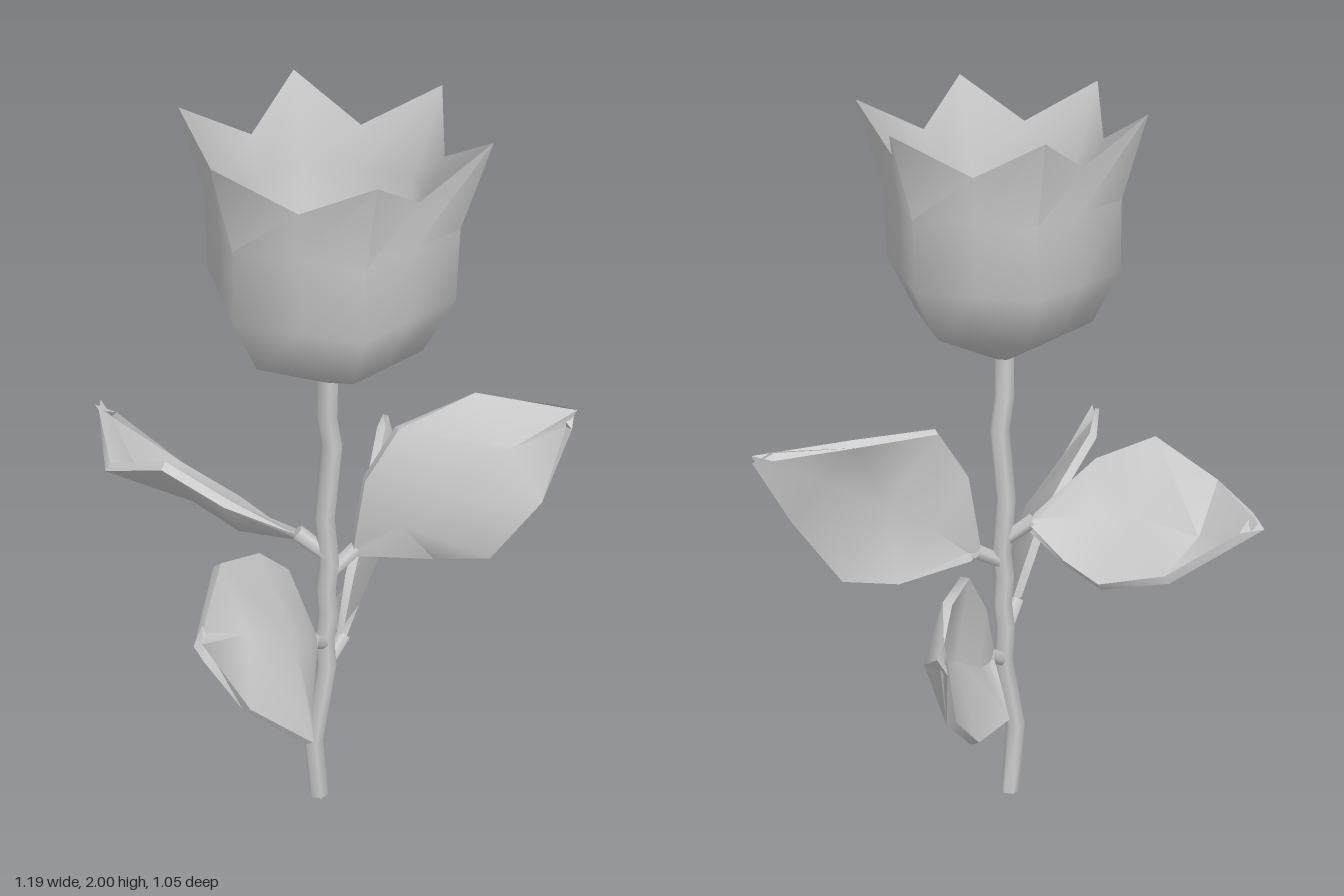
import * as THREE from 'three';
import { toCreasedNormals } from 'three/addons/utils/BufferGeometryUtils.js';

const V = (x, y, z) => new THREE.Vector3(x, y, z);
const STEM_Z = 0.18;

// Skin a list of equal-length rings (counter-clockwise about the path) and cap both ends.
function loft(name, rings, crease) {
  const n = rings[0].length, index = [];
  const last = (rings.length - 1) * n;
  for (let i = 0; i < rings.length - 1; i++) {
    for (let j = 0; j < n; j++) {
      const a = i * n + j, b = i * n + (j + 1) % n;
      index.push(a, b, b + n, a, b + n, a + n);
    }
  }
  for (let j = 1; j < n - 1; j++) {
    index.push(0, j + 1, j, last, last + j, last + j + 1);
  }
  const geometry = new THREE.BufferGeometry().setFromPoints(rings.flat());
  geometry.setIndex(index);
  const mesh = new THREE.Mesh(
    toCreasedNormals(geometry, crease),
    new THREE.MeshStandardMaterial({ color: 0xcccccc })
  );
  mesh.name = name;
  return mesh;
}

// Horizontal ring about the stem axis; odd points may differ from even ones.
function ring(sides, x, y, r, oddR = r, oddY = y) {
  return Array.from({ length: sides }, (_, i) => {
    const a = (i * 2 * Math.PI) / sides, odd = i % 2;
    const radius = odd ? oddR : r;
    return V(x + radius * Math.cos(a), odd ? oddY : y, STEM_Z - radius * Math.sin(a));
  });
}

// Thin plate between two edges, narrowing to base and tip, its midrib pushed out by cup.
function leafBlade({ base, tip, upper, lower, cup }, thickness = 0.024) {
  const edges = [upper, lower].map((edge) => {
    const pts = edge.map((p) => V(...p));
    return [V(...base).lerp(pts[0], 0.14), ...pts, V(...tip).lerp(pts[2], 0.2)];
  });
  const rows = edges[0].map((u, i) => [u, u.clone().lerp(edges[1][i], 0.5), edges[1][i]]);
  rows[0][1].set(...base);
  rows[4][1].set(...tip);
  const normalAt = (i, j) => {
    const across = rows[i][Math.min(j + 1, 2)].clone().sub(rows[i][Math.max(j - 1, 0)]);
    const along = rows[Math.min(i + 1, 4)][j].clone().sub(rows[Math.max(i - 1, 0)][j]);
    return across.cross(along).normalize();
  };
  for (let i = 1; i < 4; i++) rows[i][1].addScaledVector(normalAt(i, 1), cup);

  const rings = rows.map((row, i) => {
    const [front, back] = [0.5, -0.5].map((side) => row.map((p, j) =>
      p.clone().addScaledVector(normalAt(i, j), side * thickness)));
    return [...front, ...back.reverse()];
  });
  return loft('leafBlade', rings, 0.8);
}

// Short tapered stalk between stem and blade.
function leafStalk(base) {
  const end = V(...base), start = V(0.01, end.y - 0.05, STEM_Z);
  const dir = end.clone().sub(start);
  const mesh = new THREE.Mesh(
    new THREE.CylinderGeometry(0.022, 0.02, dir.length() + 0.02, 6),
    new THREE.MeshStandardMaterial({ color: 0xcccccc })
  );
  mesh.position.copy(start).lerp(end, 0.6);
  mesh.quaternion.setFromUnitVectors(V(0, 1, 0), dir.normalize());
  mesh.name = 'leafStalk';
  return mesh;
}

const LEAVES = {
  upperFrontLeaf: {
    base: [0.08, 0.81, 0.2], tip: [0.58, 1.17, 0.5], cup: 0.02,
    upper: [[0.1, 1.04, 0.22], [0.17, 1.18, 0.26], [0.4, 1.21, 0.31]],
    lower: [[0.28, 0.76, 0.31], [0.38, 0.77, 0.42], [0.46, 0.95, 0.51]]
  },
  lowerBackLeaf: {
    base: [0.08, 0.5, 0.17], tip: [0.58, 0.86, -0.16], cup: 0.05,
    upper: [[0.13, 0.68, 0.15], [0.24, 0.84, 0.1], [0.46, 0.92, -0.06]],
    lower: [[0.2, 0.42, 0], [0.36, 0.45, -0.04], [0.5, 0.61, -0.1]]
  },
  lowerFrontLeaf: {
    base: [-0.05, 0.59, 0.2], tip: [-0.59, 0.97, 0.37], cup: -0.03,
    upper: [[-0.12, 0.83, 0.16], [-0.22, 0.93, 0.16], [-0.38, 1, 0.2]],
    lower: [[-0.22, 0.54, 0.35], [-0.33, 0.58, 0.47], [-0.48, 0.74, 0.41]]
  },
  upperBackLeaf: {
    base: [-0.03, 0.88, 0.13], tip: [-0.165, 1.05, -0.53], cup: -0.04,
    upper: [[-0.22, 1.03, 0.05], [-0.3, 1.11, -0.09], [-0.33, 1.03, -0.28]],
    lower: [[0, 0.83, -0.03], [0.02, 0.82, -0.17], [-0.04, 0.88, -0.34]]
  }
};

export function createModel() {
  const model = new THREE.Group();
  model.name = 'flower';

  // Cup of six petals: height and radius up the outer wall, over the rim, down the inner wall.
  const cup = [
    [1.36, 0.03], [1.47, 0.23], [1.61, 0.3], [1.79, 0.3],
    [2, 0.36, 0.265, 1.9],
    [1.8, 0.27], [1.62, 0.26], [1.49, 0.18], [1.44, 0.02]
  ];
  const petalRings = cup.map(([y, r, notchR = r * 0.866, notchY = y]) =>
    ring(12, 0, y, r, notchR, notchY));
  model.add(loft('petals', petalRings, 1.15));

  // Crooked stem: centre x and height.
  const stem = [
    [0, 0], [-0.025, 0.22], [0.02, 0.46], [0.01, 0.56], [0.02, 0.64], [0.01, 0.72],
    [0.02, 0.8], [0, 0.95], [0.02, 1.16], [0, 1.25], [0, 1.39]
  ];
  model.add(loft('stem', stem.map(([x, y]) => ring(6, x, y, 0.027)), 1.15));

  // Four cupped leaves, each with its stalk.
  for (const [name, shape] of Object.entries(LEAVES)) {
    const leaf = new THREE.Group();
    leaf.name = name;
    leaf.add(leafBlade(shape), leafStalk(shape.base));
    model.add(leaf);
  }
  return model;
}
